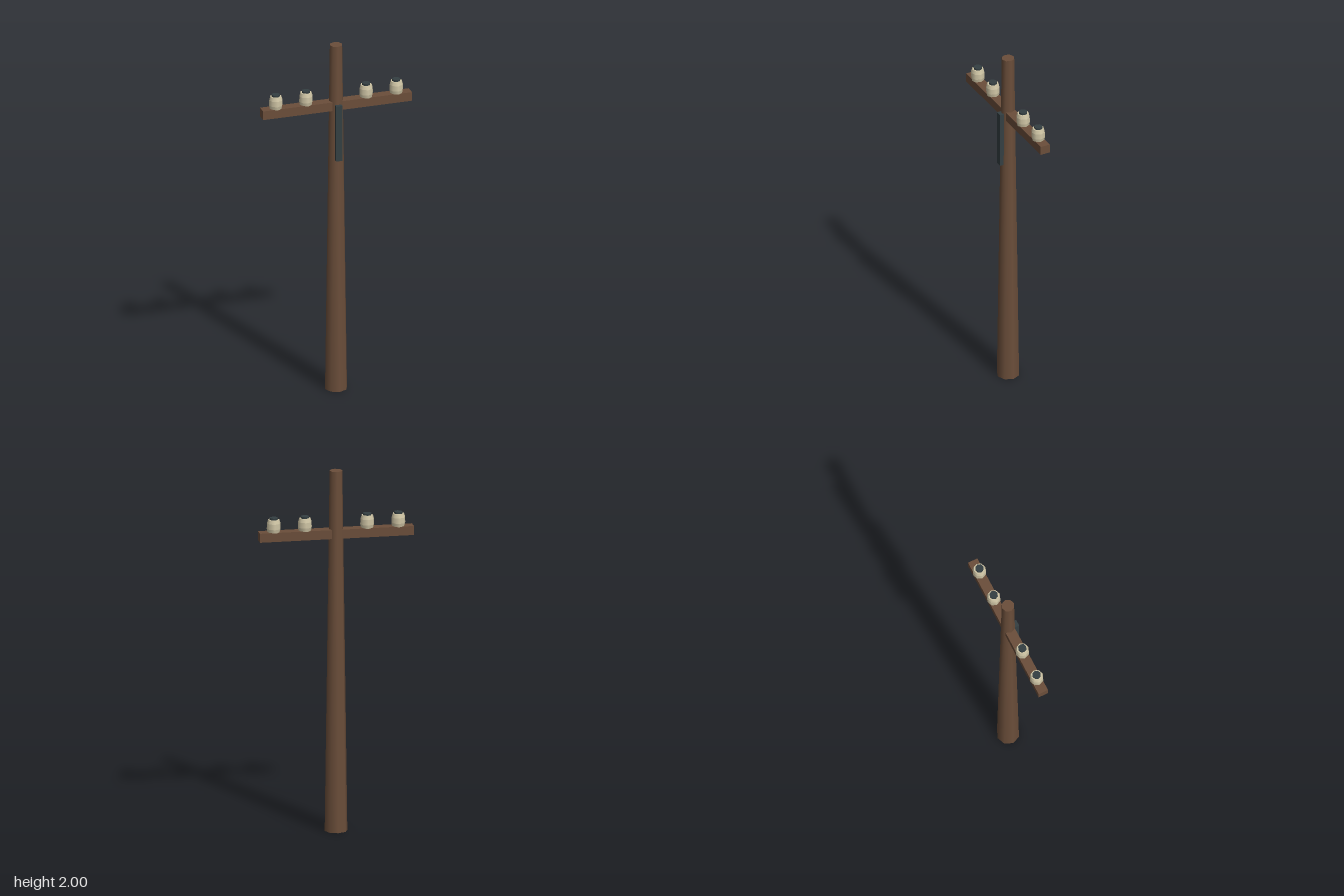
import * as THREE from 'three';

const wood = new THREE.MeshStandardMaterial({ color: 0x6b4e3a });
const ceramic = new THREE.MeshStandardMaterial({ color: 0xcfc5a5 });
const iron = new THREE.MeshStandardMaterial({ color: 0x343f42 });

function part(name, geometry, material, x, y, z) {
  const mesh = new THREE.Mesh(geometry, material);
  mesh.name = name;
  mesh.position.set(x, y, z);
  return mesh;
}

// Eight-sided insulator: skirted ceramic body with a small iron cap
function insulator(x) {
  const group = new THREE.Group();
  group.name = 'insulator';
  group.position.set(x, 1.675, 0);
  const sections = [[0.034, 0.038, 0, 0.02], [0.038, 0.037, 0.02, 0.05], [0.037, 0.031, 0.05, 0.07]];
  sections.forEach(([bottom, top, y0, y1], i) => {
    const geometry = new THREE.CylinderGeometry(top, bottom, y1 - y0, 8, 1, i === 1);
    group.add(part('insulatorBody', geometry, ceramic, 0, (y0 + y1) / 2, 0));
  });
  group.add(part('insulatorCap', new THREE.CylinderGeometry(0.023, 0.023, 0.014, 8), iron, 0, 0.073, 0));
  return group;
}

export function createModel() {
  const model = new THREE.Group();
  model.name = 'utilityPole';

  // Tapered pole and crossarm
  model.add(part('pole', new THREE.CylinderGeometry(0.035, 0.062, 2, 8), wood, 0, 1, 0));
  model.add(part('crossarm', new THREE.BoxGeometry(0.84, 0.05, 0.056), wood, 0, 1.652, 0));

  // Iron strap on the front of the pole
  model.add(part('frontStrap', new THREE.BoxGeometry(0.036, 0.32, 0.024), iron, 0, 1.503, 0.046));

  // Two insulators on each side
  for (const x of [-0.34, -0.17, 0.17, 0.34]) model.add(insulator(x));

  return model;
}
